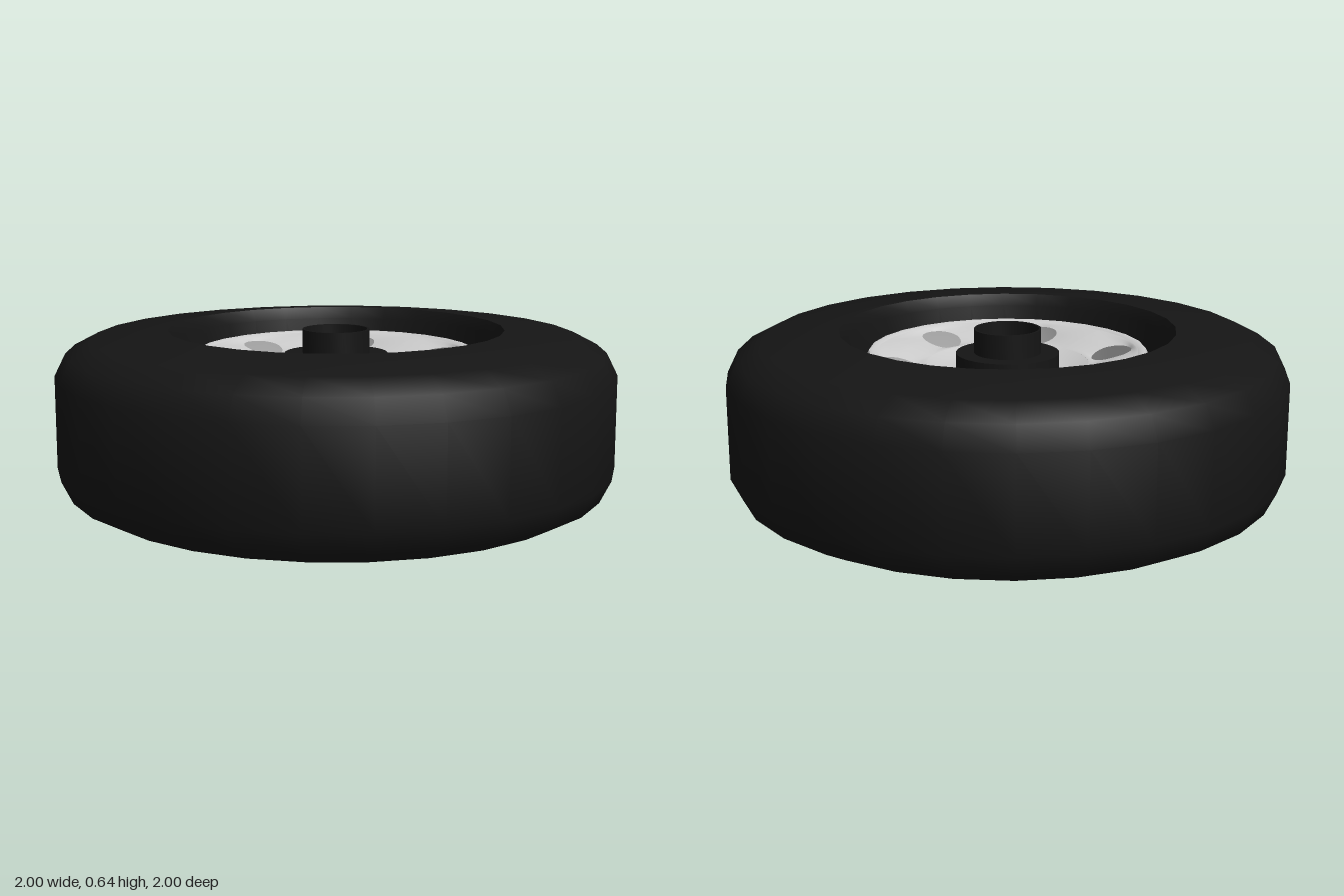
import * as THREE from 'three';
import { toCreasedNormals } from 'three/addons/utils/BufferGeometryUtils.js';

const rubber = new THREE.MeshStandardMaterial({ color: 0x151515 });
const metal = new THREE.MeshStandardMaterial({ color: 0xcccccc, side: THREE.DoubleSide });

// Revolve [radius, height] points about the upright axle
function turned(name, points, segments, material, crease = 0.7) {
  const profile = points.map(([r, y]) => new THREE.Vector2(r, y));
  const geometry = toCreasedNormals(new THREE.LatheGeometry(profile, segments), crease);
  const mesh = new THREE.Mesh(geometry, material);
  mesh.name = name;
  return mesh;
}

// Dished height of the wheel disc at a given radius
const dish = [[0.11, 0.49], [0.2, 0.492], [0.24, 0.5], [0.29, 0.518], [0.385, 0.547], [0.44, 0.558], [0.48, 0.562]];
function dishHeight(r) {
  let i = 1;
  while (i < dish.length - 1 && r > dish[i][0]) i++;
  const [r0, y0] = dish[i - 1], [r1, y1] = dish[i];
  return y0 + (y1 - y0) * (r - r0) / (r1 - r0);
}

// Perforated band of the disc: one patch per hole, from hole edge to sector edge
function perforatedBand() {
  const holeAngles = [-28, 33.5, 90, 151.7, 212.5, 270].map(THREE.MathUtils.degToRad);
  const count = holeAngles.length, around = 32, rings = 4;
  const holeR = 0.385, holeSize = 0.072, innerR = 0.29, outerR = 0.472;
  const positions = [], index = [];
  holeAngles.forEach((angle, k) => {
    const next = holeAngles[(k + 1) % count] + (k === count - 1 ? Math.PI * 2 : 0);
    const prev = holeAngles[(k + count - 1) % count] - (k === 0 ? Math.PI * 2 : 0);
    const base = positions.length / 3;
    for (let j = 0; j <= rings; j++) {
      const v = j / rings;
      for (let i = 0; i < around; i++) {
        const t = i / around * Math.PI * 2;
        const c = Math.cos(t), s = Math.sin(t), m = Math.max(Math.abs(c), Math.abs(s));
        const edgeR = holeR + c / m * (c > 0 ? outerR - holeR : holeR - innerR);
        const edgeA = angle + s / m * (s > 0 ? next - angle : angle - prev) / 2;
        // Hole circle point, turned to the hole's direction
        const hr = holeR + holeSize * c, ht = holeSize * s;
        const hx = hr * Math.cos(angle) - ht * Math.sin(angle);
        const hy = hr * Math.sin(angle) + ht * Math.cos(angle);
        const x = hx + (edgeR * Math.cos(edgeA) - hx) * v;
        const up = hy + (edgeR * Math.sin(edgeA) - hy) * v;
        const dimple = 0.014 * (1 - v) ** 2;
        positions.push(x, dishHeight(Math.hypot(x, up)) - dimple, -up);
        if (j < rings) {
          const a = base + j * around + i, b = base + j * around + (i + 1) % around;
          index.push(a, a + around, b, b, a + around, b + around);
        }
      }
    }
  });
  const geometry = new THREE.BufferGeometry();
  geometry.setAttribute('position', new THREE.Float32BufferAttribute(positions, 3));
  geometry.setIndex(index);
  geometry.computeVertexNormals();
  const mesh = new THREE.Mesh(geometry, metal);
  mesh.name = 'perforatedDisc';
  return mesh;
}

export function createModel() {
  const wheel = new THREE.Group();
  wheel.name = 'wheel';

  // Tyre: closed ring, flat tread with rounded shoulders
  wheel.add(turned('tyre', [
    [0.58, 0.04], [0.6, 0], [0.87, 0.028], [0.96, 0.075], [1, 0.155],
    [1, 0.487], [0.96, 0.567], [0.87, 0.614], [0.6, 0.642], [0.58, 0.6], [0.58, 0.04],
  ], 28, rubber, 1.0));

  // Rim: rolled flange, then a barrel rising to the disc edge
  wheel.add(turned('rim', [
    [0.582, 0.31], [0.575, 0.325], [0.55, 0.33], [0.53, 0.34], [0.51, 0.36],
    [0.503, 0.385], [0.503, 0.55], [0.495, 0.565], [0.482, 0.568], [0.468, 0.561],
  ], 28, metal));

  // Disc: solid dished centre and the band with six round holes
  wheel.add(turned('discCentre', dish.slice(0, 4), 48, metal));
  wheel.add(perforatedBand());

  // Hub: wide collar and a taller bored sleeve
  wheel.add(turned('hubCollar', [
    [0.117, 0.475], [0.185, 0.475], [0.185, 0.553], [0.117, 0.553],
  ], 32, rubber));
  wheel.add(turned('hubSleeve', [
    [0.112, 0.47], [0.12, 0.47], [0.12, 0.64], [0.112, 0.64], [0.112, 0.47],
  ], 32, rubber));

  return wheel;
}
